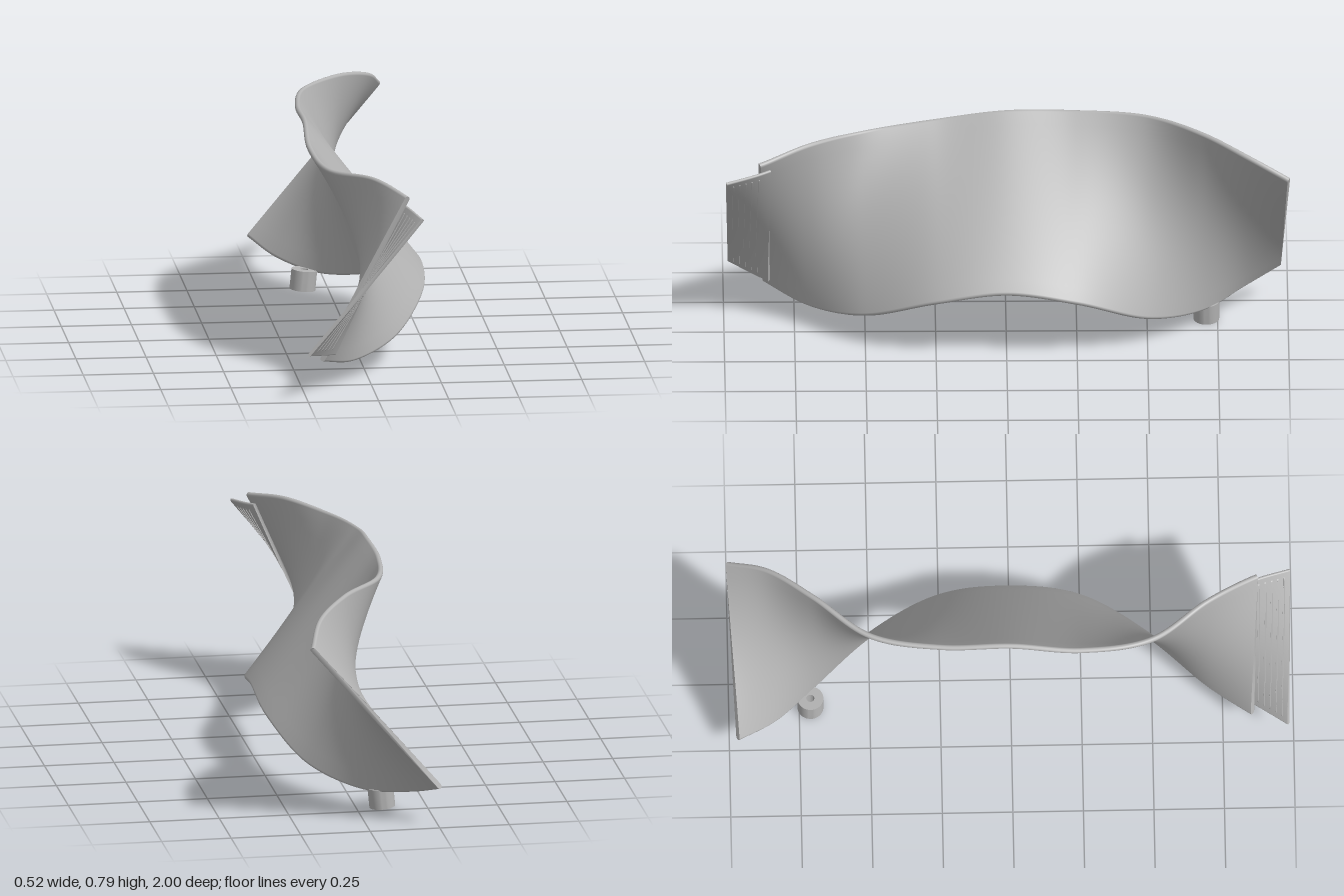
import * as THREE from 'three';
import { toCreasedNormals } from 'three/addons/utils/BufferGeometryUtils.js';

const curve = (pts) => new THREE.CatmullRomCurve3(pts.map((p) => new THREE.Vector3(...p)));

// Upper and lower edges of the twisted band, from back to front
const upperEdge = curve([
  [0.205, 0.68, -1], [0.155, 0.742, -0.86], [0.04, 0.78, -0.7], [-0.11, 0.781, -0.5],
  [-0.157, 0.779, -0.25], [-0.157, 0.78, 0], [-0.165, 0.743, 0.25], [-0.12, 0.72, 0.5],
  [0.015, 0.732, 0.7], [0.115, 0.702, 0.875], [0.164, 0.683, 1],
]);
const lowerEdge = curve([
  [-0.254, 0.146, -0.97], [-0.17, 0.102, -0.84], [-0.035, 0.075, -0.7], [0.132, 0.118, -0.5],
  [0.235, 0.222, -0.25], [0.248, 0.265, 0], [0.227, 0.222, 0.25], [0.107, 0.123, 0.5],
  [-0.06, 0.087, 0.7], [-0.183, 0.124, 0.855], [-0.272, 0.155, 0.97],
]);

// Round-edged sheet following the twist between t0 and t1
function sheet({ t0, t1, rows, half, inset = 0, offset = 0 }) {
  const loop = []; // [fraction of width, extra width, height]
  const across = 14, round = 6;
  for (const side of [0, 1]) {
    const sign = side ? 1 : -1;
    for (let i = 0; i < across; i++) loop.push([side ? 1 - i / across : i / across, 0, sign * half]);
    for (let i = 0; i < round; i++) {
      const a = -Math.PI / 2 + side * Math.PI + (i / round) * Math.PI;
      loop.push([side ? 0 : 1, Math.cos(a) * half, Math.sin(a) * half]);
    }
  }
  const pos = [], index = [], n = loop.length, e = 0.002;
  for (let r = 0; r <= rows; r++) {
    const t = t0 + ((t1 - t0) * r) / rows;
    const ta = Math.max(0, t - e), tb = Math.min(1, t + e);
    const top = upperEdge.getPoint(t), low = lowerEdge.getPoint(t);
    const dTop = upperEdge.getPoint(tb).sub(upperEdge.getPoint(ta));
    const dLow = lowerEdge.getPoint(tb).sub(lowerEdge.getPoint(ta));
    const w = low.clone().sub(top).normalize();
    top.addScaledVector(w, inset);
    low.addScaledVector(w, -inset);
    for (const [v, extra, h] of loop) {
      const normal = dTop.clone().lerp(dLow, v).cross(w).normalize();
      const p = top.clone().lerp(low, v).addScaledVector(w, extra).addScaledVector(normal, h + offset);
      pos.push(p.x, p.y, p.z);
    }
  }
  for (let r = 0; r < rows; r++) for (let j = 0; j < n; j++) {
    const a = r * n + j, b = r * n + ((j + 1) % n);
    index.push(a, b, b + n, a, b + n, a + n);
  }
  // End caps with their own vertices
  for (const [row, front] of [[0, false], [rows, true]]) {
    const start = pos.length / 3;
    pos.push(...pos.slice(row * n * 3, (row + 1) * n * 3));
    for (let j = 1; j < n - 1; j++) {
      if (front) index.push(start, start + j, start + j + 1);
      else index.push(start, start + j + 1, start + j);
    }
  }
  const g = new THREE.BufferGeometry();
  g.setAttribute('position', new THREE.Float32BufferAttribute(pos, 3));
  g.setIndex(index);
  g.computeVertexNormals();
  return g;
}

export function createModel() {
  const group = new THREE.Group();
  const grey = new THREE.MeshStandardMaterial({ color: 0xb3b3b3 });
  grey.name = 'grey';
  const add = (name, geometry) => {
    const mesh = new THREE.Mesh(geometry, grey);
    mesh.name = name;
    group.add(mesh);
    return mesh;
  };

  add('twistedBand', sheet({ t0: 0, t1: 0.9, rows: 110, half: 0.01 }));

  // Thin joining tab on the front end, laid against one face of the band
  add('joiningTab', sheet({ t0: 0.882, t1: 1, rows: 14, half: 0.006, inset: 0.03, offset: 0.016 }));

  // Fine ribs across the tab
  for (let i = 0; i < 5; i++) {
    const t = 0.908 + i * 0.018;
    add('tabRib', sheet({ t0: t, t1: t + 0.004, rows: 1, half: 0.0085, inset: 0.055, offset: 0.016 }));
  }

  // Bored mounting peg under the lower edge
  const profile = [[0.014, 0], [0.046, 0], [0.046, 0.073], [0.014, 0.073], [0.014, 0]]
    .map(([x, y]) => new THREE.Vector2(x, y));
  const peg = add('mountingPeg', toCreasedNormals(new THREE.LatheGeometry(profile, 40), 0.6));
  peg.position.set(-0.093, 0.005, -0.71);
  peg.rotation.z = -0.1;

  return group;
}
